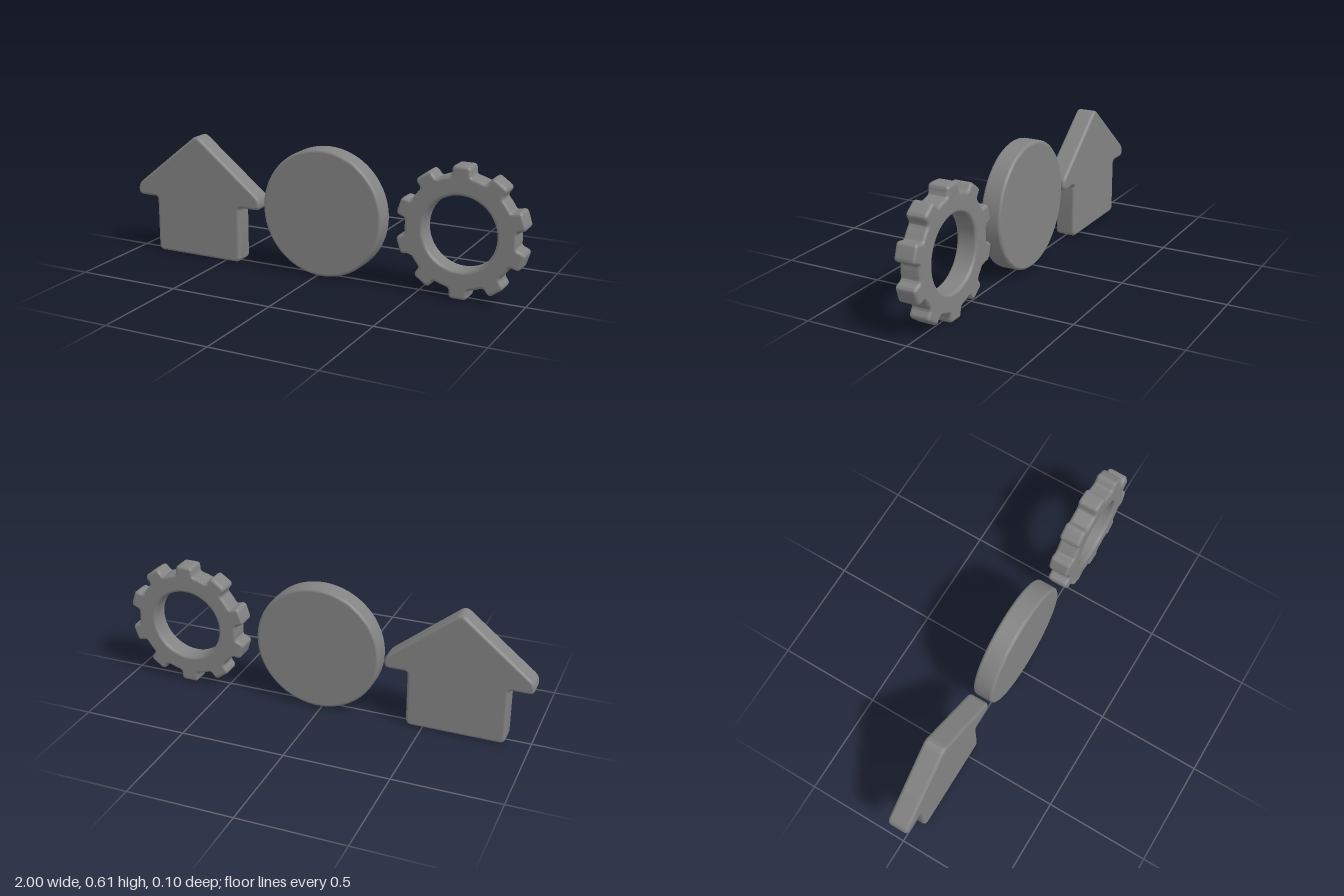
import * as THREE from 'three';
import { toCreasedNormals } from 'three/addons/utils/BufferGeometryUtils.js';

const HALF = 0.051;  // half of the plate thickness
const BEVEL = 0.016; // rounded rim on both faces
const MID_Y = 0.305;

const material = new THREE.MeshStandardMaterial({ color: 0x838383 });

// Closed shape from corners [x, y, cut], each corner rounded over the length cut
function roundedShape(corners) {
  const shape = new THREE.Shape();
  const pts = corners.map(([x, y]) => new THREE.Vector2(x, y));
  const n = pts.length;
  const toward = (a, b, d) => b.clone().sub(a).setLength(d).add(a);
  corners.forEach(([, , cut], i) => {
    const p = pts[i];
    const start = toward(p, pts[(i + n - 1) % n], cut);
    const end = toward(p, pts[(i + 1) % n], cut);
    if (i === 0) shape.moveTo(start.x, start.y);
    else shape.lineTo(start.x, start.y);
    shape.quadraticCurveTo(p.x, p.y, end.x, end.y);
  });
  shape.closePath();
  return shape;
}

function circlePoints(radius, count) {
  return Array.from({ length: count }, (_, i) => {
    const a = (i / count) * Math.PI * 2;
    return new THREE.Vector2(radius * Math.cos(a), radius * Math.sin(a));
  });
}

// Flat plate with a soft rim; the outline is the widest section
function plate(name, shape, x, y) {
  let geo = new THREE.ExtrudeGeometry(shape, {
    depth: 2 * (HALF - BEVEL), bevelEnabled: true, bevelThickness: BEVEL,
    bevelSize: BEVEL, bevelOffset: -BEVEL, bevelSegments: 5, curveSegments: 7,
  });
  geo.translate(0, 0, BEVEL - HALF);
  geo = toCreasedNormals(geo, 0.7);

  // Keep the faces and the side walls flat, so only the rim shades as round
  const pos = geo.attributes.position;
  const nor = geo.attributes.normal;
  const v = new THREE.Vector3();
  for (let i = 0; i < pos.count; i++) {
    const z = pos.getZ(i);
    v.fromBufferAttribute(nor, i);
    if (Math.abs(z) > HALF - 1e-4) v.set(0, 0, Math.sign(z));
    else if (Math.abs(z) < HALF - BEVEL + 1e-4) v.setZ(0).normalize();
    nor.setXYZ(i, v.x, v.y, v.z);
  }

  const mesh = new THREE.Mesh(geo, material);
  mesh.name = name;
  mesh.position.set(x, y, 0);
  return mesh;
}

// House: gable roof with eaves over a square body
function houseShape() {
  const right = [
    [0.235, 0, 0.03], [0.235, 0.275, 0.016],
    [0.347, 0.275, 0.026], [0.347, 0.33, 0.026],
  ];
  const left = right.map(([x, y, c]) => [-x, y, c]).reverse();
  return roundedShape([...right, [0, 0.609, 0.03], ...left]);
}

// Gear: ring with evenly spaced square teeth
function gearShape(teeth = 10) {
  const root = 0.262, tip = 0.305;
  const corners = [];
  for (let i = 0; i < teeth; i++) {
    const a = Math.PI / 2 + (i / teeth) * Math.PI * 2;
    const c = Math.cos(a), s = Math.sin(a);
    // r runs along the tooth, w across it
    const add = (r, w, cut) => corners.push([r * c - w * s, r * s + w * c, cut]);
    add(root - 0.004, -0.045, 0.012);
    add(tip, -0.043, 0.02);
    add(tip, 0.043, 0.02);
    add(root - 0.004, 0.045, 0.012);
    const m = a + Math.PI / teeth;
    corners.push([root * Math.cos(m), root * Math.sin(m), 0.02]);
  }
  const shape = roundedShape(corners);
  shape.holes.push(new THREE.Path(circlePoints(0.171, 72)));
  return shape;
}

export function createModel() {
  const model = new THREE.Group();
  model.name = 'iconPlates';
  model.add(
    plate('house', houseShape(), -0.653, 0),
    plate('disc', new THREE.Shape(circlePoints(0.305, 96)), 0.023, MID_Y),
    plate('gear', gearShape(), 0.7, MID_Y),
  );
  return model;
}
